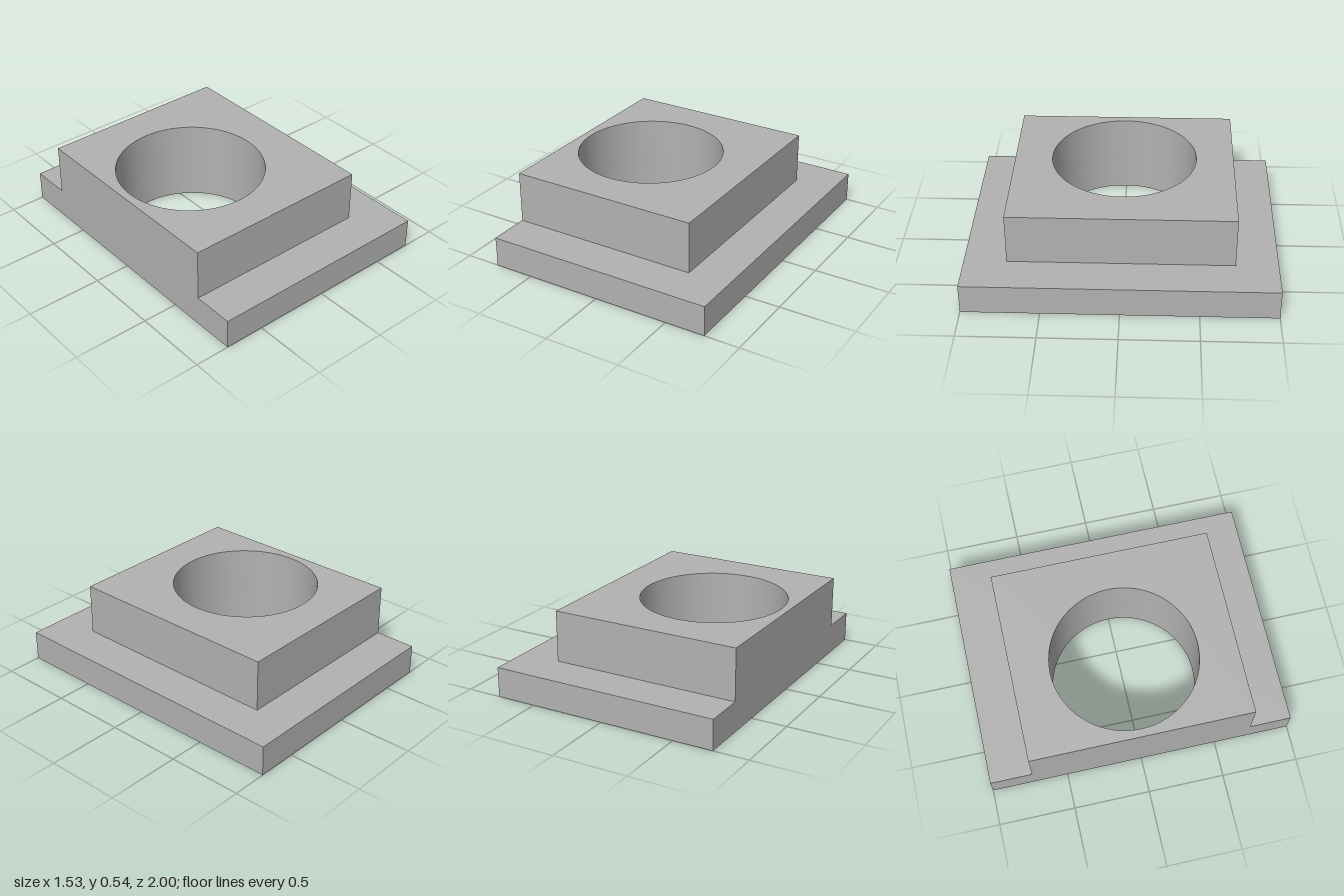
import * as THREE from 'three';
import { toCreasedNormals } from 'three/addons/utils/BufferGeometryUtils.js';

const BORE = { x: -0.235, radius: 0.48 };

// Rectangular slab standing on y = bottom, pierced by the shared vertical bore
function boredSlab(name, x0, x1, halfDepth, bottom, top, material) {
  const shape = new THREE.Shape([
    new THREE.Vector2(x0, -halfDepth),
    new THREE.Vector2(x1, -halfDepth),
    new THREE.Vector2(x1, halfDepth),
    new THREE.Vector2(x0, halfDepth),
  ]);
  shape.holes.push(new THREE.Path().absarc(BORE.x, 0, BORE.radius, 0, Math.PI * 2, true));

  const geometry = new THREE.ExtrudeGeometry(shape, {
    depth: top - bottom,
    bevelEnabled: false,
    curveSegments: 48,
  });
  geometry.rotateX(-Math.PI / 2).translate(0, bottom, 0);

  const mesh = new THREE.Mesh(toCreasedNormals(geometry, Math.PI / 6), material);
  mesh.name = name;
  return mesh;
}

export function createModel() {
  const grey = new THREE.MeshStandardMaterial({ color: 0xb2b2b2 });
  grey.name = 'grey';

  const model = new THREE.Group();
  model.name = 'boredBlock';
  model.add(
    // Wide base flange
    boredSlab('basePlate', -0.767, 0.767, 1, 0, 0.2, grey),
    // Raised block, flush with the base on the right side
    boredSlab('upperBlock', -0.767, 0.498, 0.727, 0.2, 0.54, grey),
  );
  return model;
}
